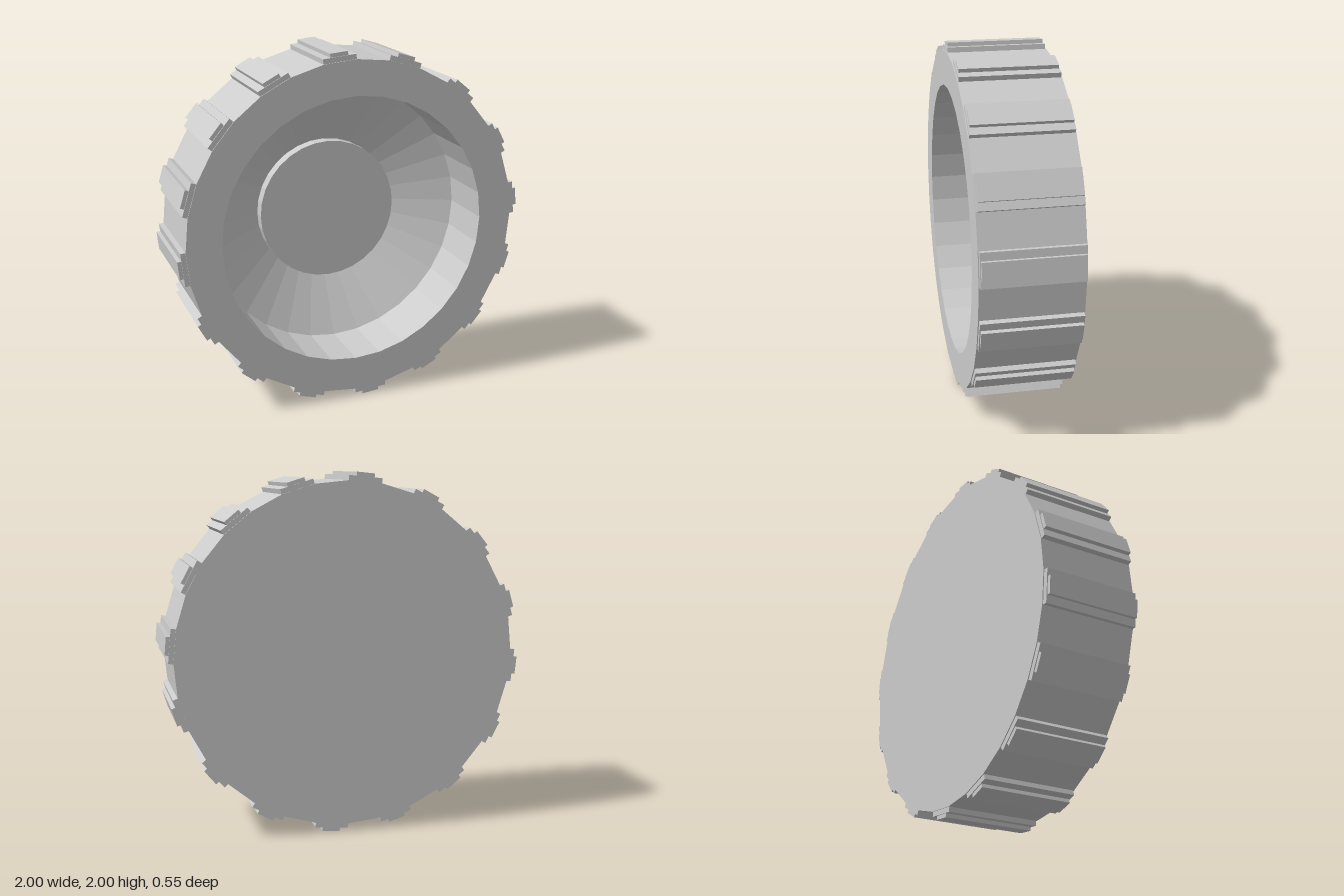
import * as THREE from 'three';

export function createModel() {
  const group = new THREE.Group();
  const material = new THREE.MeshStandardMaterial({ color: 0xcccccc, flatShading: true });

  // Wheel body: flat back, straight tyre wall, deep conical dish with a raised hub
  // (profile is radius, depth)
  const profile = [
    [0, -0.273], [0.955, -0.273], [0.955, 0.273], [0.76, 0.273],
    [0.76, -0.08], [0.41, -0.25], [0.41, -0.18], [0, -0.18],
  ].map(([r, z]) => new THREE.Vector2(r, z));
  const body = new THREE.Mesh(new THREE.LatheGeometry(profile, 32), material);
  body.name = 'wheelBody';
  body.rotation.x = Math.PI / 2;
  group.add(body);

  // Stepped tread blocks, one on every second facet of the tyre
  const block = (name, width, inner, outer, depth) => {
    const geometry = new THREE.BoxGeometry(width, outer - inner, depth);
    geometry.translate(0, (inner + outer) / 2, 0);
    const mesh = new THREE.Mesh(geometry, material);
    mesh.name = name;
    return mesh;
  };
  const facet = Math.PI / 16;
  for (let i = 0; i < 16; i++) {
    const tread = new THREE.Group();
    tread.name = 'tread';
    tread.add(block('treadBase', 0.187, 0.945, 0.978, 0.536));
    tread.add(block('treadCap', 0.1, 0.97, 0.9995, 0.526));
    tread.rotation.z = facet * (0.5 + 2 * i);
    group.add(tread);
  }

  // Stand the wheel on the ground
  for (const part of group.children) part.position.y = 1;
  return group;
}
